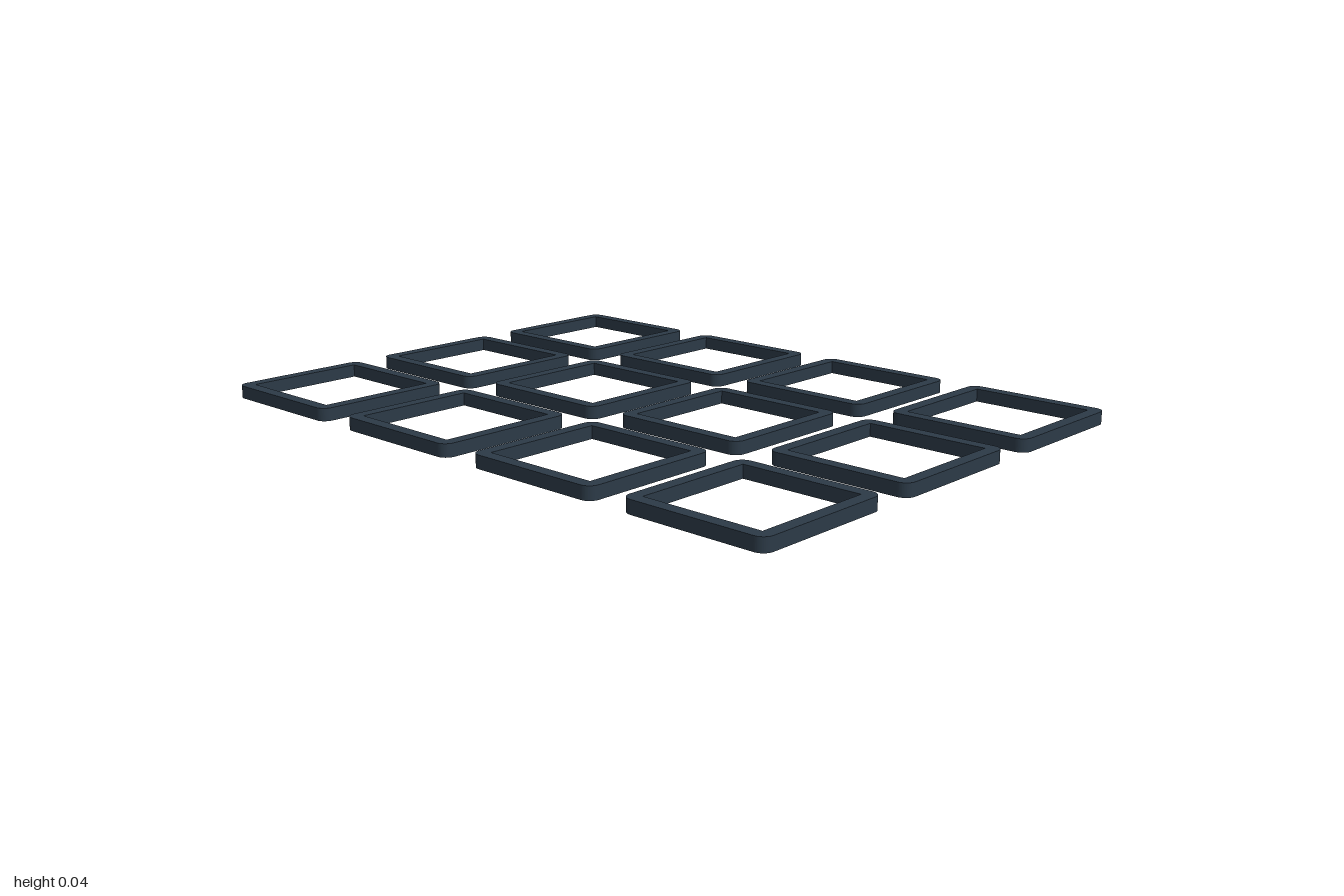
import * as THREE from 'three';

const SIZE = 0.425, BAR = 0.036, HEIGHT = 0.037, PITCH = 0.525, RADIUS = 0.03;

// Square ring with rounded outer corners and a square opening
function frameGeometry() {
  const h = SIZE / 2, c = h - RADIUS, i = h - BAR;
  const shape = new THREE.Shape();
  shape.absarc(c, c, RADIUS, 0, Math.PI / 2);
  shape.absarc(-c, c, RADIUS, Math.PI / 2, Math.PI);
  shape.absarc(-c, -c, RADIUS, Math.PI, Math.PI * 1.5);
  shape.absarc(c, -c, RADIUS, Math.PI * 1.5, Math.PI * 2);
  shape.closePath();
  const hole = new THREE.Path();
  hole.moveTo(-i, -i).lineTo(-i, i).lineTo(i, i).lineTo(i, -i).closePath();
  shape.holes.push(hole);
  const geometry = new THREE.ExtrudeGeometry(shape, {
    depth: HEIGHT, bevelEnabled: false, curveSegments: 6,
  });
  return geometry.rotateX(-Math.PI / 2);
}

export function createModel() {
  const model = new THREE.Group();
  model.name = 'frameGrid';
  const slate = new THREE.MeshStandardMaterial({ color: 0x2c3a47 });
  slate.name = 'dark slate';
  const geometry = frameGeometry();

  // Three rows of four frames
  for (let row = 0; row < 3; row++) {
    for (let col = 0; col < 4; col++) {
      const frame = new THREE.Mesh(geometry, slate);
      frame.name = `frameRow${row + 1}Column${col + 1}`;
      frame.position.set((col - 1.5) * PITCH, 0, (row - 1) * PITCH);
      model.add(frame);
    }
  }
  return model;
}
